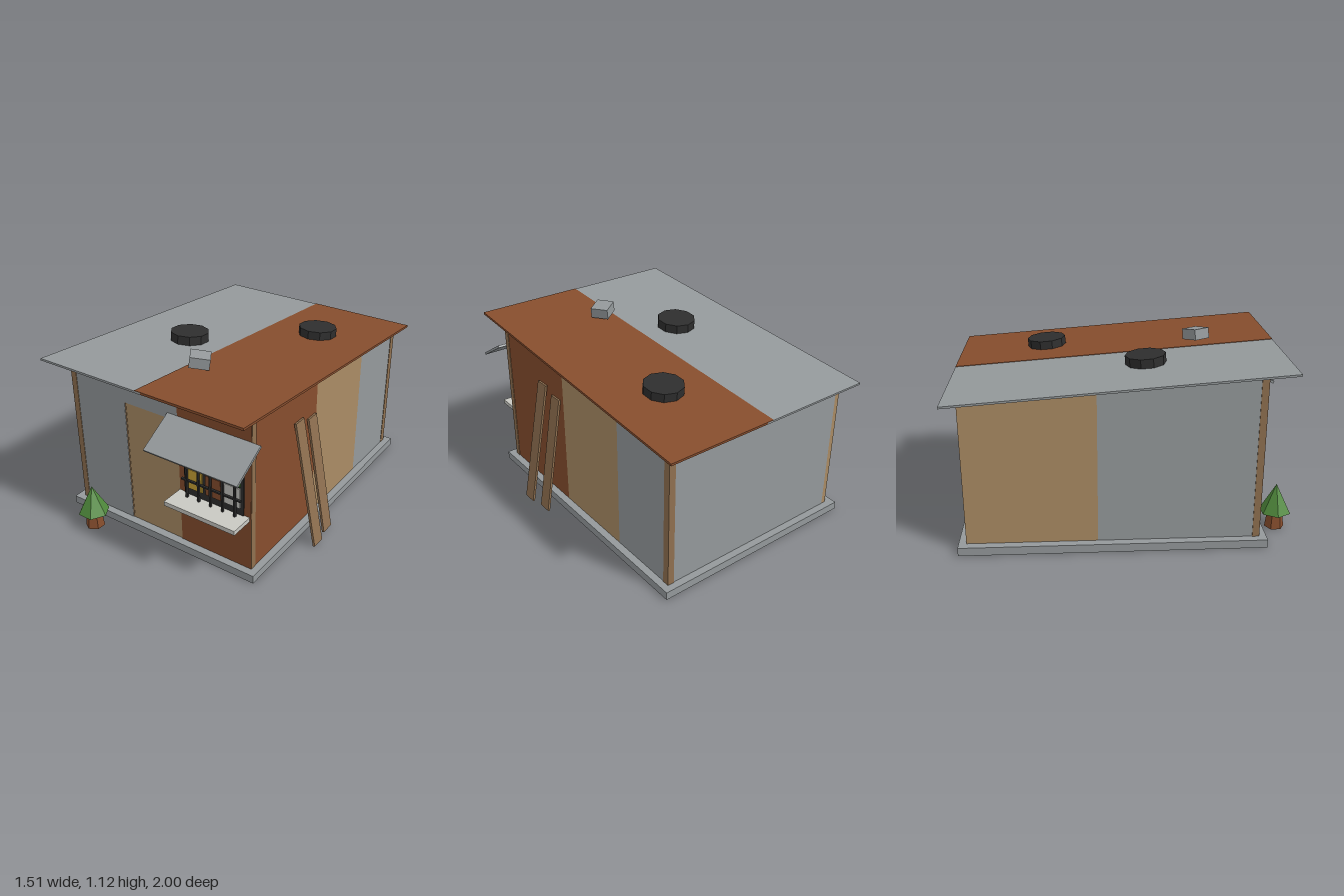
import * as THREE from 'three';

const mat = (name, color) => {
  const m = new THREE.MeshStandardMaterial({ color });
  m.name = name;
  return m;
};

export function createModel() {
  const root = new THREE.Group();
  root.name = 'shack';

  const grey = mat('sheet metal grey', 0x94999b);
  const rust = mat('rust', 0x864d2d);
  const tan = mat('plywood tan', 0xaa8b64);
  const wood = mat('weathered wood', 0x8f7050);
  const black = mat('dark iron', 0x2e2e2e);
  const white = mat('pale stone', 0xc8c8c2);
  const blue = mat('blue glass', 0x355ca6);
  const green = mat('leaf green', 0x508a3c);
  const yellow = mat('yellow glass', 0xcaa436);

  const add = (name, geo, material, parent = root) => {
    const mesh = new THREE.Mesh(geo, material);
    mesh.name = name;
    parent.add(mesh);
    return mesh;
  };
  // Box given by its limits on each axis
  const block = (name, material, x0, x1, y0, y1, z0, z1, parent) => {
    const geo = new THREE.BoxGeometry(x1 - x0, y1 - y0, z1 - z0);
    geo.translate((x0 + x1) / 2, (y0 + y1) / 2, (z0 + z1) / 2);
    return add(name, geo, material, parent);
  };

  // Roof underside falls towards the back
  const SLOPE = 0.0755;
  const roofY = (z) => 0.975 + SLOPE * z;
  const tilt = -Math.atan(SLOPE);

  // Wall piece whose top follows the roof
  const wall = (name, material, x0, x1, z0, z1, y0 = 0.05) => {
    const mesh = block(name, material, x0, x1, y0, 1, z0, z1);
    const p = mesh.geometry.attributes.position;
    for (let i = 0; i < p.count; i++) if (p.getY(i) > 0.99) p.setY(i, roofY(p.getZ(i)));
    mesh.geometry.computeVertexNormals();
    return mesh;
  };

  block('foundation', grey, -0.74, 0.62, 0, 0.05, -0.96, 0.82);

  // Front wall and door
  wall('frontWallLeft', grey, -0.69, -0.29, 0.745, 0.775);
  wall('frontWallOverDoor', grey, -0.29, 0.09, 0.745, 0.775, 0.847);
  wall('frontWallRight', rust, 0.09, 0.575, 0.745, 0.775);
  block('doorJamb', wood, -0.29, -0.282, 0.05, 0.847, 0.745, 0.773);
  block('door', tan, -0.282, 0.09, 0.05, 0.847, 0.745, 0.771);

  // Side and back walls
  wall('rightWallFront', rust, 0.545, 0.575, 0.1, 0.745);
  wall('rightWallMiddle', tan, 0.545, 0.575, -0.455, 0.1);
  wall('rightWallBack', grey, 0.545, 0.575, -0.885, -0.455);
  wall('leftWallFront', grey, -0.69, -0.66, -0.16, 0.745);
  wall('leftWallBack', tan, -0.69, -0.66, -0.915, -0.16);
  wall('backWallLeft', grey, -0.66, -0.06, -0.915, -0.885);
  wall('backWallRight', grey, -0.06, 0.545, -0.915, -0.885);

  // Corner posts
  wall('frontRightPost', wood, 0.54, 0.578, 0.735, 0.774);
  wall('backRightPost', wood, 0.537, 0.578, -0.918, -0.875);
  wall('frontLeftPost', wood, -0.694, -0.655, 0.737, 0.778);

  // Two overlapping roof sheets
  const roofSheet = (name, material, x0, x1, lift, y1) => {
    const mesh = block(name, material, x0, x1, lift, y1, -0.97, 0.97);
    mesh.position.set(0, roofY(-0.032), -0.032);
    mesh.rotation.x = tilt;
  };
  roofSheet('greyRoofSheet', grey, -0.76, -0.02, 0.001, 0.013);
  roofSheet('rustRoofSheet', rust, -0.06, 0.635, 0.002, 0.016);

  // Tyres and a block weighing down the roof
  for (const [x, z] of [[0.255, -0.455], [-0.31, 0.135]]) {
    const geo = new THREE.CylinderGeometry(0.12, 0.12, 0.055, 10).toNonIndexed();
    geo.computeVertexNormals();
    const tyre = add('roofTyre', geo, black);
    tyre.position.set(x, roofY(z) + 0.04, z);
    tyre.rotation.x = tilt;
  }
  const weight = add('roofBlock', new THREE.BoxGeometry(0.118, 0.065, 0.112), grey);
  weight.position.set(0.024, 1.08, 0.473);
  weight.rotation.set(-0.07, 0.59, -0.13, 'ZXY');

  // Window: frame, coloured panes, bars and sill
  const win = new THREE.Group();
  win.name = 'window';
  root.add(win);
  block('windowBacking', black, 0.13, 0.53, 0.4, 0.74, 0.77, 0.783, win);
  const panes = [[yellow, rust, white], [rust, blue, green]];
  panes.forEach((row, r) => row.forEach((m, c) => {
    const x = 0.155 + c * 0.126, y = 0.448 + r * 0.137;
    block('windowPane', m, x, x + 0.103, y, y + 0.127, 0.783, 0.791, win);
  }));
  for (let i = 0; i < 5; i++) {
    const x = 0.168 + i * 0.081;
    block('verticalBar', black, x - 0.006, x + 0.006, 0.4, 0.738, 0.804, 0.817, win);
  }
  for (const y of [0.512, 0.644])
    block('crossBar', black, 0.13, 0.53, y - 0.005, y + 0.005, 0.8, 0.813, win);
  block('windowSill', white, 0.088, 0.565, 0.375, 0.402, 0.77, 0.92, win);

  // Sloping awning
  const awning = add('awning', new THREE.BoxGeometry(0.608, 0.015, 0.25), grey);
  awning.position.set(0.329, 0.812, 0.88);
  awning.rotation.x = Math.atan2(0.13, 0.215);

  // Planks leaning on the right wall
  const plank = (xBottom, xTop, yTop, z, yaw) => {
    const dx = xTop - xBottom, len = Math.hypot(dx, yTop);
    const mesh = add('leaningPlank', new THREE.BoxGeometry(0.014, len, 0.088), wood);
    mesh.position.set((xBottom + xTop) / 2, yTop / 2 + 0.004, z);
    mesh.rotation.set(yaw, 0, Math.atan2(-dx, yTop));
  };
  plank(0.74, 0.586, 0.787, 0.311, 0.006);
  plank(0.718, 0.584, 0.748, 0.163, 0.012);

  // Small tree
  const tree = new THREE.Group();
  tree.name = 'tree';
  tree.position.set(-0.48, 0, 0.917);
  root.add(tree);
  const facet = (geo) => {
    const g = geo.toNonIndexed();
    g.computeVertexNormals();
    return g;
  };
  add('treeTrunk', facet(new THREE.CylinderGeometry(0.043, 0.059, 0.12, 6)), rust, tree).position.y = 0.06;
  const crown = add('treeCrown', facet(new THREE.ConeGeometry(0.095, 0.178, 6)), green, tree);
  crown.position.y = 0.19;
  crown.rotation.y = Math.PI / 6;

  return root;
}
